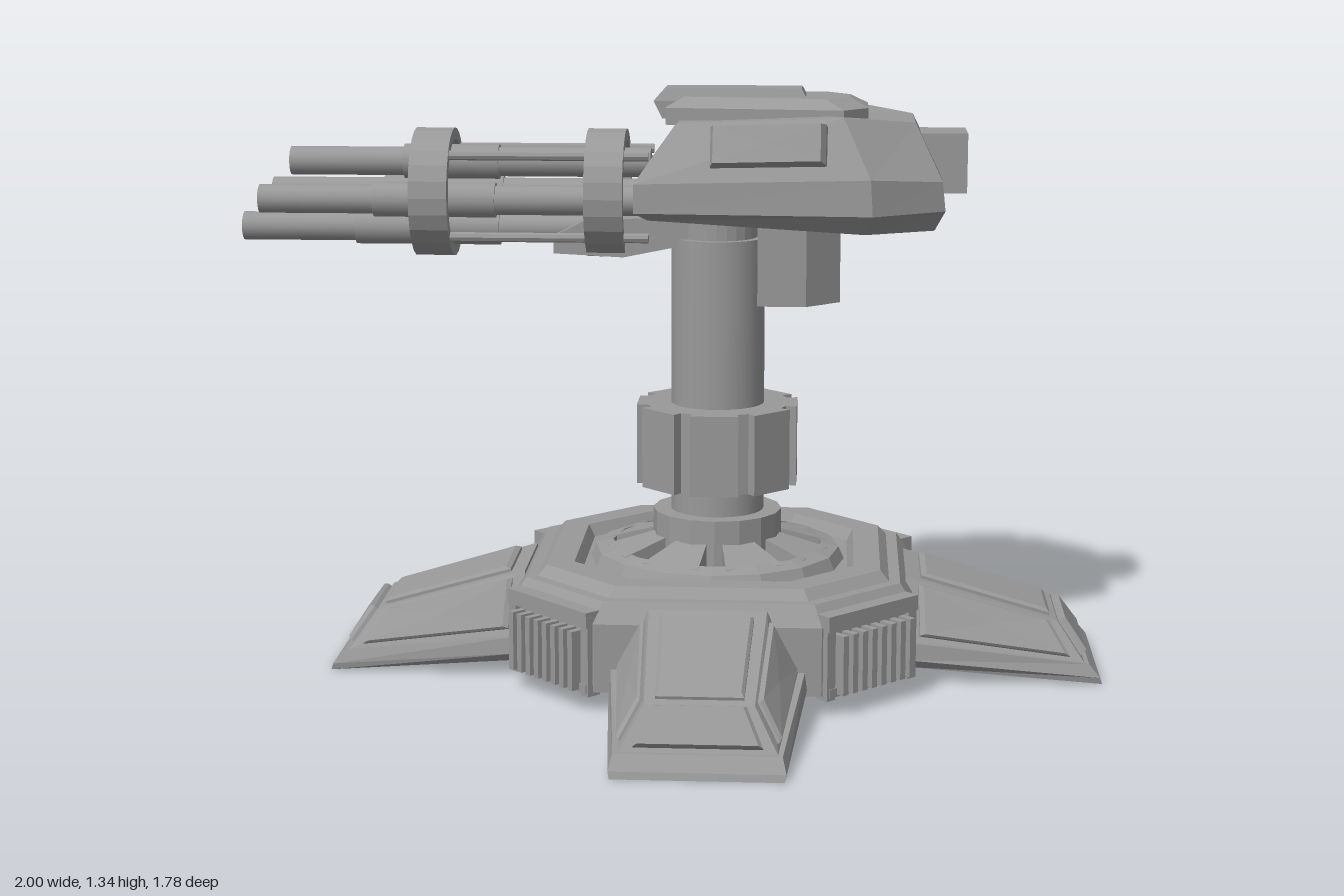
import * as THREE from 'three';

const GREY = 0x999999;
const mat = new THREE.MeshStandardMaterial({ color: GREY, flatShading: true, side: THREE.DoubleSide });
const smooth = new THREE.MeshStandardMaterial({ color: GREY });
const V = (x, y, z) => new THREE.Vector3(x, y, z);
const CX = 0.105; // axis of the pedestal
const GY = 1.098, GZ = -0.008; // axis of the gun

function add(parent, name, geo, x = 0, y = 0, z = 0, m = mat) {
  const mesh = new THREE.Mesh(geo, m);
  mesh.name = name;
  mesh.position.set(x, y, z);
  parent.add(mesh);
  return mesh;
}

// Skin over stacked rings with equal point counts; winding is fixed by signed volume
function loft(rings, capBottom = true) {
  const tris = [], n = rings[0].length;
  for (let k = 0; k < rings.length - 1; k++) {
    for (let i = 0; i < n; i++) {
      const j = (i + 1) % n, a = rings[k], b = rings[k + 1];
      tris.push([a[i], a[j], b[j]], [a[i], b[j], b[i]]);
    }
  }
  const cap = (r, flip) => {
    const c = r.reduce((s, p) => s.add(p), V(0, 0, 0)).divideScalar(n);
    for (let i = 0; i < n; i++) {
      const p = r[i], q = r[(i + 1) % n];
      tris.push(flip ? [c, q, p] : [c, p, q]);
    }
  };
  cap(rings[rings.length - 1], false);
  if (capBottom) cap(rings[0], true);
  const o = rings[0][0];
  let vol = 0;
  for (const [a, b, c] of tris) vol += a.clone().sub(o).dot(b.clone().sub(o).cross(c.clone().sub(o)));
  const geo = new THREE.BufferGeometry().setFromPoints(tris.flatMap(t => (vol < 0 ? [t[0], t[2], t[1]] : t)));
  geo.computeVertexNormals();
  return geo;
}

// Raised bevelled plate on the face a-b-c-d, covering the given u and v range
function plate([a, b, c, d], u0, u1, v0, v1, t, inside) {
  const at = (u, v) => a.clone().lerp(b, u).lerp(d.clone().lerp(c, u), v);
  const quad = [at(u0, v0), at(u1, v0), at(u1, v1), at(u0, v1)];
  const n = quad[2].clone().sub(quad[0]).cross(quad[3].clone().sub(quad[1])).normalize();
  if (n.dot(quad[0].clone().sub(inside)) < 0) n.negate();
  const mid = quad.reduce((s, p) => s.add(p), V(0, 0, 0)).divideScalar(4);
  const lift = (h, s) => quad.map(p => p.clone().lerp(mid, s).addScaledVector(n, h));
  return loft([lift(-0.01, 0), lift(t * 0.5, 0), lift(t, 0.07)]);
}

const box = (x, y, z) => new THREE.BoxGeometry(x, y, z);
const cyl = (r0, r1, h, n = 24) => new THREE.CylinderGeometry(r0, r1, h, n);
const lathe = (pts, n) => new THREE.LatheGeometry(pts.map(p => new THREE.Vector2(...p)), n);

// Octagon with flat sides towards the axes
function octagon(a, y) {
  const b = a * 0.55;
  return [[a, -b], [a, b], [b, a], [-b, a], [-a, b], [-a, -b], [-b, -a], [b, -a]].map(([x, z]) => V(x, y, z));
}

function buildLeg() {
  const g = new THREE.Group();
  g.name = 'leg';
  const ring = (r0, y0, w0, r1, y1, w1) => [V(r0, y0, w0), V(r1, y1, w1), V(r1, y1, -w1), V(r0, y0, -w0)];
  const low = ring(0.44, 0.1, 0.2, 0.85, 0.045, 0.165);
  const top = ring(0.44, 0.232, 0.13, 0.79, 0.13, 0.115);
  add(g, 'legShell', loft([
    ring(0.44, 0.04, 0.205, 0.89, 0, 0.18), ring(0.44, 0.06, 0.22, 0.885, 0.015, 0.183),
    ring(0.44, 0.1, 0.215, 0.86, 0.045, 0.175), low, top], false));
  const inside = V(0.6, 0.05, 0);
  add(g, 'legTopPlate', plate(top, 0.1, 0.95, 0.1, 0.9, 0.014, inside));
  add(g, 'legEndPlate', plate([low[1], low[2], top[2], top[1]], 0.08, 0.92, 0.1, 0.95, 0.018, inside));
  for (const [i, j] of [[0, 1], [3, 2]])
    add(g, 'legSidePlate', plate([low[i], low[j], top[j], top[i]], 0.08, 0.93, 0.1, 0.92, 0.012, inside));
  return g;
}

function buildRadiator() {
  const g = new THREE.Group();
  g.name = 'radiator';
  add(g, 'radiatorTopBar', box(0.05, 0.035, 0.28), 0.492, 0.21, 0);
  add(g, 'radiatorBottomBar', box(0.03, 0.02, 0.27), 0.5, 0.052, 0);
  for (const s of [-1, 1]) add(g, 'radiatorPost', box(0.035, 0.18, 0.025), 0.495, 0.125, s * 0.128);
  for (let i = 0; i < 8; i++) add(g, 'radiatorFin', box(0.04, 0.135, 0.016), 0.515, 0.115, (i - 3.5) * 0.03);
  return g;
}

function buildBase() {
  const g = new THREE.Group();
  g.name = 'base';
  add(g, 'baseShell', loft([[0.455, 0.045], [0.455, 0.2], [0.425, 0.245], [0.4, 0.245], [0.38, 0.268],
    [0.32, 0.268], [0.305, 0.24]].map(([a, y]) => octagon(a, y)), false));
  for (let i = 0; i < 4; i++) {
    const leg = buildLeg(), rad = buildRadiator();
    leg.rotation.y = i * Math.PI / 2;
    rad.rotation.y = (i + 0.5) * Math.PI / 2;
    g.add(leg, rad);
  }
  // Sloping foot: a rim and eight wedges with pockets between them
  add(g, 'footRim', lathe([[0.3, 0.235], [0.285, 0.268], [0.245, 0.279], [0.245, 0.235]], 16));
  const wedge = (yIn, yOut) => [[0.13, -0.27, yIn], [0.26, -0.27, yOut], [0.26, 0.27, yOut], [0.13, 0.27, yIn]]
    .map(([r, a, y]) => V(r * Math.cos(a), y, r * Math.sin(a)));
  for (let i = 0; i < 8; i++)
    add(g, 'footWedge', loft([wedge(0.235, 0.235), wedge(0.31, 0.275)])).rotation.y = (i + 0.5) * Math.PI / 4;
  add(g, 'undersideDisc', cyl(0.25, 0.25, 0.03, 16), 0, 0.22, 0);
  return g;
}

function buildPedestal() {
  const g = new THREE.Group();
  g.name = 'pedestal';
  add(g, 'footRing', cyl(0.15, 0.15, 0.12, 16), 0, 0.3, 0);
  add(g, 'column', cyl(0.108, 0.108, 0.7, 32), 0, 0.65, 0, smooth);
  add(g, 'columnCap', cyl(0.09, 0.09, 0.07), 0, 1.01, 0);
  // Collar with eight grooves
  const pts = [];
  for (let i = 0; i < 8; i++) {
    for (const [d, r] of [[-0.29, 0.193], [0.29, 0.193], [0.31, 0.168], [0.475, 0.168]]) {
      const a = i * Math.PI / 4 + d;
      pts.push(new THREE.Vector2(r * Math.cos(a), r * Math.sin(a)));
    }
  }
  const collar = new THREE.ExtrudeGeometry(new THREE.Shape(pts), { depth: 0.187, bevelEnabled: false });
  add(g, 'collar', collar.rotateX(-Math.PI / 2), 0, 0.426, 0);
  return g;
}

function buildHead() {
  const g = new THREE.Group();
  g.name = 'head';
  // Six-sided plan: front edge, widest point, back edge
  const ring = (y0, y1, y2, f, fw, m, mw, b, bw) => [V(f, y0, fw), V(m, y1, mw), V(b, y2, bw),
    V(b, y2, -bw), V(m, y1, -mw), V(f, y0, -fw)];
  add(g, 'headShell', loft([
    ring(1.058, 1.038, 1.036, -0.045, 0.18, 0.44, 0.245, 0.595, 0.145),
    ring(1.08, 1.085, 1.085, -0.073, 0.235, 0.455, 0.305, 0.617, 0.19),
    ring(1.145, 1.165, 1.15, -0.073, 0.235, 0.45, 0.303, 0.61, 0.19),
    ring(1.275, 1.295, 1.275, 0.02, 0.17, 0.39, 0.235, 0.55, 0.12)]));
  // Upright rectangular panels on the sloping sides
  for (const s of [-1, 1]) {
    const face = [V(0.1, 1.18, s * 0.236), V(0.355, 1.19, s * 0.272), V(0.355, 1.275, s * 0.24), V(0.1, 1.265, s * 0.2)];
    add(g, 'sidePanel', plate(face, 0, 1, 0, 1, 0.038, V(0.25, 1.1, 0)));
  }
  const roof = (y, s) => ring(y, y, y, -0.01 + s, 0.1 - s, 0.39 - s, 0.15 - s, 0.445 - s, 0.075 - s);
  add(g, 'roofPlate', loft([roof(1.265, 0), roof(1.303, 0), roof(1.325, 0.04)]));
  const hatch = (y, x0, x1, w) => [V(x0, y, w), V(x1, y, w), V(x1, y, -w), V(x0, y, -w)];
  add(g, 'roofHatch', loft([hatch(1.275, -0.02, 0.31, 0.06), hatch(1.315, -0.04, 0.31, 0.06), hatch(1.343, -0.015, 0.295, 0.05)]));
  add(g, 'rearBlock', box(0.14, 0.135, 0.15), 0.6, 1.178, -0.012);
  // Chamfered box hanging behind the column
  const hang = y => [[0.2, 0.145], [0.31, 0.145], [0.386, 0.07], [0.386, -0.07], [0.31, -0.145], [0.2, -0.145]]
    .map(([x, z]) => V(x, y, z));
  add(g, 'underBox', loft([hang(0.86), hang(1.06)]));
  return g;
}

function buildGun() {
  const g = new THREE.Group();
  g.name = 'gun';
  const rod = (name, r, x0, x1, y, z, n = 16) =>
    add(g, name, cyl(r, r, x1 - x0, n).rotateZ(Math.PI / 2), (x0 + x1) / 2, GY + y, GZ + z, n > 12 ? smooth : mat);
  // Four barrels in a diamond, the lowest reaching furthest
  for (const [y, z, tip] of [[0.07, 0, -0.885], [-0.083, 0, -1], [-0.01, 0.078, -0.945], [-0.01, -0.078, -0.945]]) {
    rod('barrelMuzzle', 0.033, tip, tip + 0.27, y, z);
    rod('barrelSleeve', 0.04, tip + 0.265, -0.4, y, z);
    rod('barrelRear', 0.034, -0.41, -0.05, y, z);
  }
  // Hollow clamp rings
  for (const x of [-0.548, -0.15]) {
    const p = [[0.122, -0.044], [0.148, -0.044], [0.148, 0.044], [0.122, 0.044], [0.122, -0.044]];
    add(g, 'clampRing', lathe(p, 24).rotateZ(Math.PI / 2), x, GY, GZ);
  }
  for (let i = 0; i < 4; i++) {
    const a = (i + 0.5) * Math.PI / 2;
    rod('tieRod', 0.011, -0.55, -0.05, 0.132 * Math.sin(a), 0.132 * Math.cos(a), 8);
  }
  const cradle = [[-0.27, 1.005], [-0.27, 0.965], [-0.11, 0.957], [0.15, 1.01], [0.15, 1.06], [-0.2, 1.04]];
  const side = z => cradle.map(([x, y]) => V(x, y, z));
  add(g, 'gunCradle', loft([side(-0.06), side(0.06)]));
  return g;
}

export function createModel() {
  const model = new THREE.Group();
  model.name = 'turret';
  const base = buildBase(), pedestal = buildPedestal();
  base.position.x = pedestal.position.x = CX;
  model.add(base, pedestal, buildHead(), buildGun());
  return model;
}
